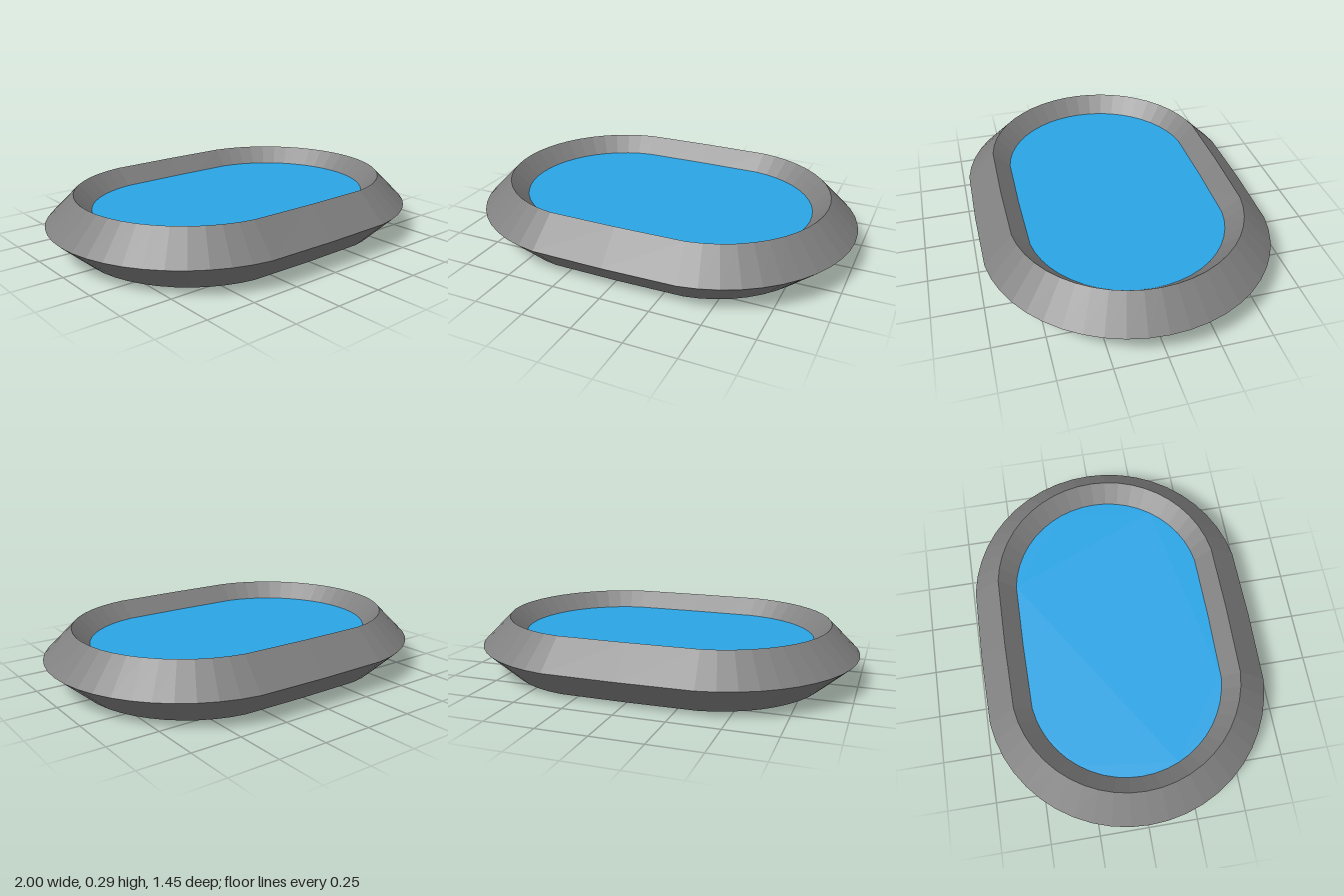
import * as THREE from 'three';

const HALF = 0.275; // half length of the straight sides
const R = 0.58;     // radius of the rounded ends along the tube's centre
const T = 0.145;    // half width of the diamond section
const STEPS = 24;   // facets around each rounded end

// Stadium outline as [x, z] points, grown by an offset
function outline(offset) {
  const pts = [];
  const r = R + offset;
  for (const side of [1, -1]) {
    pts.push([0, side * r]);
    for (let i = 1; i < STEPS; i++) {
      const a = (i / STEPS) * Math.PI;
      pts.push([side * (HALF + r * Math.sin(a)), side * r * Math.cos(a)]);
    }
  }
  return pts;
}

// Diamond section swept round the outline
function rimGeometry() {
  const section = [[T, T], [0, 2 * T], [-T, T], [0, 0]];
  const rings = section.map(([o, y]) => outline(o).map(([x, z]) =>
    // the lowest edge is drawn in slightly at the ends
    [y === 0 ? x * 0.977 : x, y, z]));
  const n = rings[0].length;
  const pos = rings.flat(2);
  const index = [];
  for (let k = 0; k < 4; k++) {
    const m = (k + 1) % 4;
    for (let i = 0; i < n; i++) {
      const j = (i + 1) % n;
      const a = k * n + i, b = k * n + j, c = m * n + j, d = m * n + i;
      index.push(a, b, c, a, c, d);
    }
  }
  const g = new THREE.BufferGeometry();
  g.setAttribute('position', new THREE.Float32BufferAttribute(pos, 3));
  g.setIndex(index);
  const flat = g.toNonIndexed();
  flat.computeVertexNormals();
  return flat;
}

// Flat sheet filling the rim, facing up or down
function sheetGeometry(offset, y, up) {
  const shape = new THREE.Shape(outline(offset).map(([x, z]) => new THREE.Vector2(x, z)));
  const g = new THREE.ShapeGeometry(shape);
  g.rotateX(up ? -Math.PI / 2 : Math.PI / 2);
  g.translate(0, y, 0);
  return g;
}

export function createModel() {
  const model = new THREE.Group();
  model.name = 'pool';
  const add = (name, geometry, color, flatShading = false) => {
    const mesh = new THREE.Mesh(geometry, new THREE.MeshStandardMaterial({ color, flatShading }));
    mesh.name = name;
    model.add(mesh);
  };

  add('rim', rimGeometry(), 0x808080, true);
  add('water', sheetGeometry(-0.085, 0.205, true), 0x2aa5e6);
  add('floor', sheetGeometry(-0.085, 0.085, false), 0x8f510c);
  return model;
}
